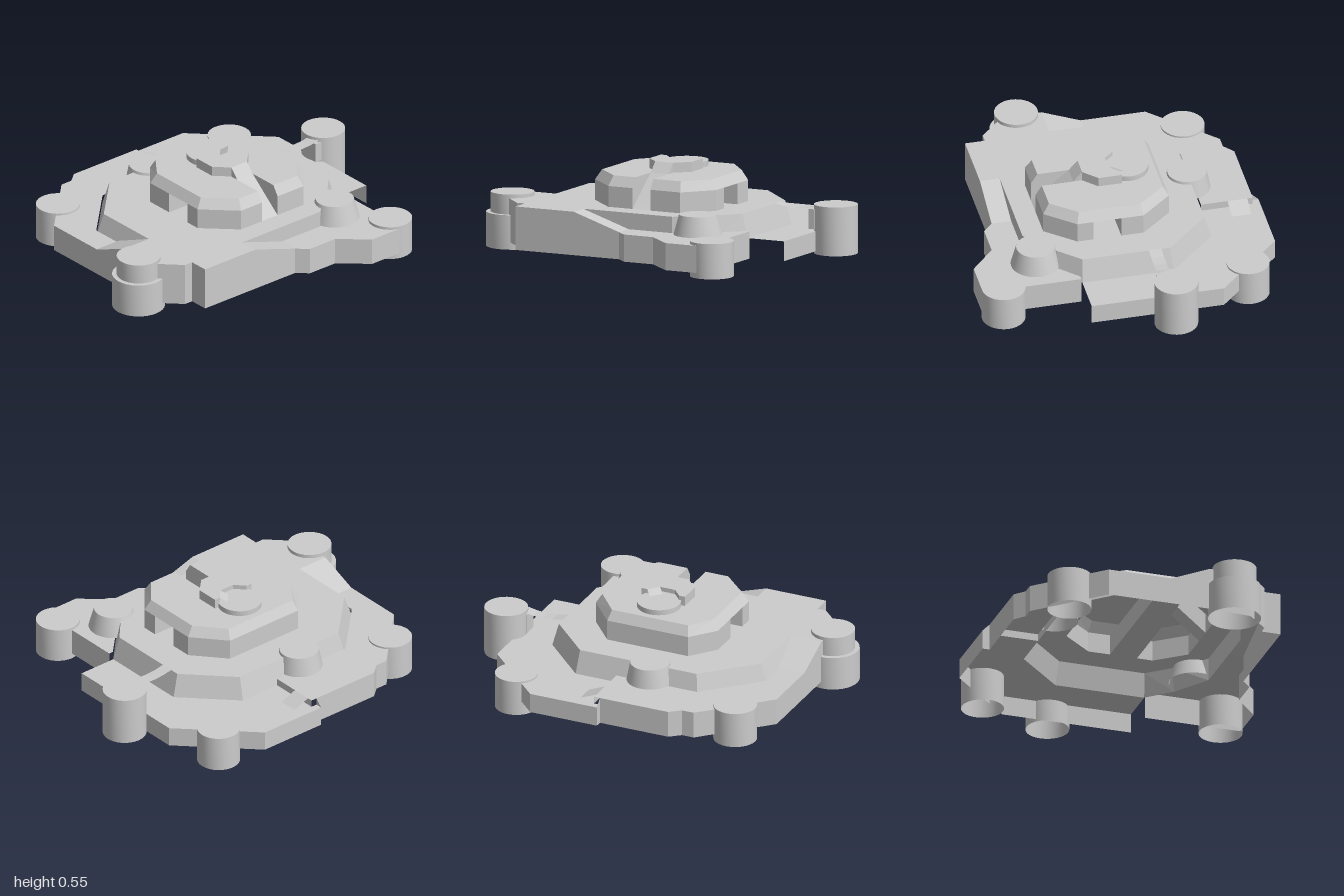
import * as THREE from 'three';
import { toCreasedNormals } from 'three/addons/utils/BufferGeometryUtils.js';

const material = new THREE.MeshStandardMaterial({ color: 0xcccccc, side: THREE.DoubleSide });

export function createModel() {
  const group = new THREE.Group();

  function add(name, geometry) {
    const mesh = new THREE.Mesh(geometry, material);
    mesh.name = name;
    group.add(mesh);
    return mesh;
  }

  // Faceted strip of quads between a lower and an upper line of [x, y, z] points
  function strip(name, low, high) {
    const v = [];
    for (let i = 0; i < low.length - 1; i++) {
      const [a, b, c, d] = [low[i], low[i + 1], high[i + 1], high[i]];
      v.push(...a, ...b, ...c, ...a, ...c, ...d);
    }
    const g = new THREE.BufferGeometry();
    g.setAttribute('position', new THREE.Float32BufferAttribute(v, 3));
    g.computeVertexNormals();
    return add(name, g);
  }

  const at = (pts, y) => pts.map(([x, z]) => [x, y, z]);
  const wall = (name, pts, y0, y1) => strip(name, at(pts, y0), at(pts, y1));

  // Flat level surface from [x, z] points
  function deck(name, pts, y, hole) {
    const flat = (p) => p.map(([x, z]) => new THREE.Vector2(x, -z));
    const shape = new THREE.Shape(flat(pts));
    if (hole) shape.holes.push(new THREE.Path(flat(hole)));
    const g = new THREE.ShapeGeometry(shape);
    g.rotateX(-Math.PI / 2);
    g.translate(0, y, 0);
    return add(name, g);
  }

  // Round tower, open underneath, from [radius, y] points
  function tower(name, x, z, profile) {
    const pts = [...profile, [0, profile.at(-1)[1]]].map((p) => new THREE.Vector2(...p));
    const g = toCreasedNormals(new THREE.LatheGeometry(pts, 32), 0.6);
    add(name, g).position.set(x, 0, z);
  }

  // Outer curtain wall: [x, z, top height]
  const outer = [
    [-0.85, -0.05, 0.23], [-0.85, 0.17, 0.32], [-0.83, 0.41, 0.32], [-0.71, 0.53, 0.32],
    [-0.66, 0.53, 0.32], [-0.66, 0.64, 0.32], [-0.3, 0.64, 0.32], [-0.02, 0.64, 0.23],
    [0.04, 0.695, 0.23], [0.22, 0.695, 0.23], [0.37, 0.83, 0.23], [0.595, 0.83, 0.23], [0.595, 0.28, 0.23],
  ];
  const rear = [
    [0.8, 0.27, 0.19], [0.8, -0.47, 0.19], [0.43, -0.84, 0.19], [0.03, -0.84, 0.19],
    [0.03, -0.8, 0.23], [-0.38, -0.8, 0.23], [-0.44, -0.75, 0.23], [-0.51, -0.75, 0.23],
    [-0.85, -0.41, 0.23], [-0.85, -0.05, 0.23],
  ];
  for (const [name, line] of [['frontCurtainWall', outer], ['rearCurtainWall', rear]])
    strip(name, at(line, 0.08), line.map(([x, z, y]) => [x, y, z]));

  // Lower yards
  deck('rightRearYard', [
    [0.065, -0.8], [-0.38, -0.8], [-0.44, -0.75], [-0.51, -0.75], [-0.85, -0.41],
    [-0.85, -0.05], [-0.71, -0.05], [-0.71, -0.22], [-0.42, -0.51], [0.065, -0.51],
  ], 0.23);
  deck('leftYard', [
    [0.03, -0.84], [0.43, -0.84], [0.8, -0.47], [0.8, 0.27], [0.575, 0.27], [0.575, -0.24],
    [0.31, -0.51], [0.065, -0.51], [0.065, -0.8], [0.03, -0.8],
  ], 0.19);
  deck('frontYard', [
    [-0.02, 0.53], [-0.02, 0.64], [0.04, 0.695], [0.22, 0.695], [0.37, 0.83], [0.595, 0.83],
    [0.595, 0.28], [0.57, 0.28], [0.45, 0.4], [0.25, 0.53],
  ], 0.23);
  wall('yardStep', [[0.065, -0.51], [0.065, -0.8]], 0.19, 0.23);

  // Ramps between levels
  strip('yardRamp', [[0.065, 0.23, -0.66], [0.16, 0.192, -0.66]], [[0.065, 0.23, -0.77], [0.16, 0.192, -0.77]]);
  strip('sideRamp', [[-0.85, 0.32, 0.17], [-0.665, 0.32, 0.17]], [[-0.85, 0.23, -0.05], [-0.665, 0.23, -0.05]]);
  strip('frontRamp', [[-0.3, 0.32, 0.64], [-0.02, 0.23, 0.64]], [[-0.3, 0.32, 0.53], [-0.02, 0.23, 0.53]]);

  // Upper terrace with sloping walls
  const terraceFoot = [
    [-0.3, 0.53], [0.25, 0.53], [0.45, 0.4], [0.575, 0.27], [0.575, -0.24],
    [0.31, -0.51], [-0.42, -0.51], [-0.71, -0.22], [-0.71, 0.17],
  ];
  const terraceRim = [
    [-0.3, 0.53], [0.25, 0.53], [0.43, 0.38], [0.54, 0.26], [0.54, -0.23],
    [0.3, -0.475], [-0.4, -0.475], [-0.665, -0.21], [-0.665, 0.17],
  ];
  strip('terraceWall', at(terraceFoot, 0.19), at(terraceRim, 0.32));

  // Keep outline, starting and ending at the front stair
  const keepFoot = [
    [0.05, 0.41], [0.235, 0.41], [0.37, 0.25], [0.37, -0.12], [0.22, -0.295],
    [-0.265, -0.295], [-0.38, -0.155], [-0.38, 0.245], [-0.21, 0.41], [-0.06, 0.41],
  ];
  const keepRim = [
    [0.05, 0.375], [0.22, 0.375], [0.335, 0.235], [0.335, -0.11], [0.205, -0.265],
    [-0.25, -0.265], [-0.345, -0.14], [-0.345, 0.23], [-0.195, 0.375], [-0.06, 0.375],
  ];
  deck('terraceTop', [
    ...terraceRim, [-0.85, 0.17], [-0.83, 0.41], [-0.71, 0.53], [-0.66, 0.53], [-0.66, 0.64], [-0.3, 0.64],
  ], 0.32, keepFoot);

  // Keep walls leave a doorway on each side
  const door = [0.16, 0.005];
  wall('keepWallFrontLeft', [...keepFoot.slice(0, 3), [0.37, door[0]]], 0.32, 0.435);
  wall('keepWallRear', [[0.37, door[1]], ...keepFoot.slice(3, 7), [-0.38, door[1]]], 0.32, 0.435);
  wall('keepWallFrontRight', [[-0.38, door[0]], ...keepFoot.slice(7)], 0.32, 0.435);
  strip('keepBevel', at(keepFoot, 0.435), at(keepRim, 0.49));
  deck('keepRoof', [...keepRim, [-0.06, 0.2], [0.05, 0.2]], 0.49);

  // Passage through the keep
  for (const z of door) wall('passageWall', [[-0.38, z], [0.37, z]], 0.32, 0.435);
  for (const y of [0.32, 0.435])
    strip(y < 0.4 ? 'passageFloor' : 'passageCeiling',
      [[-0.38, y, door[0]], [0.37, y, door[0]]], [[-0.38, y, door[1]], [0.37, y, door[1]]]);

  // Stair ramp cut into the front of the keep
  const slope = [[0.32, 0.41], [0.348, 0.375], [0.49, 0.2], [0.545, 0.15]];
  strip('stairRamp', slope.map(([y, z]) => [0.05, y, z]), slope.map(([y, z]) => [-0.06, y, z]));
  for (const x of [0.05, -0.06]) {
    strip('stairCheek', slope.slice(0, 3).map(([y, z]) => [x, y, z]),
      [[x, 0.435, 0.41], [x, 0.49, 0.375], [x, 0.49, 0.2]]);
    strip('stairHead', [[x, 0.49, 0.2], [x, 0.49, 0.15]], [[x, 0.49, 0.2], [x, 0.545, 0.15]]);
  }

  // Roof platform wrapping around a low disc
  const hub = [
    [-0.135, -0.055], [-0.135, 0.075], [-0.06, 0.15], [0.05, 0.15], [0.125, 0.075], [0.125, -0.055],
    [0.09, -0.055], [0.04, 0], [-0.05, 0], [-0.1, -0.055],
  ];
  wall('roofPlatformWall', [...hub, hub[0]], 0.49, 0.545);
  deck('roofPlatformTop', hub, 0.545);
  tower('roofDisc', -0.005, -0.11, [[0.12, 0.49], [0.12, 0.52]]);
  strip('discRamp', [[0.04, 0.545, 0], [0.09, 0.545, -0.055]], [[0.01, 0.521, -0.03], [0.06, 0.521, -0.085]]);

  // Round towers
  tower('steppedTower', -0.855, 0.31, [[0.145, 0.04], [0.145, 0.23], [0.12, 0.23], [0.12, 0.34]]);
  tower('rearRightTower', -0.68, -0.58, [[0.12, 0.04], [0.12, 0.24]]);
  tower('rearLeftTower', 0.6, -0.65, [[0.118, 0], [0.118, 0.2]]);
  tower('frontLeftTower', 0.595, 0.715, [[0.12, 0.05], [0.12, 0.245]]);
  tower('outlyingTower', 0.877, -0.185, [[0.12, 0.065], [0.12, 0.335]]);
  tower('frontTurret', 0.39, 0.49, [[0.135, 0.23], [0.105, 0.34]]);
  tower('rearTurret', -0.12, -0.475, [[0.128, 0.23], [0.108, 0.335]]);

  // Sagging footbridge to the outlying tower
  const span = [[0.54, 0.322], [0.6, 0.311], [0.66, 0.307], [0.72, 0.309], [0.785, 0.322]];
  strip('footbridge', span.map(([x, y]) => [x, y, -0.11]), span.map(([x, y]) => [x, y, -0.18]));
  add('bridgePier', new THREE.BoxGeometry(0.04, 0.11, 0.09)).position.set(0.772, 0.255, -0.145);

  return group;
}
